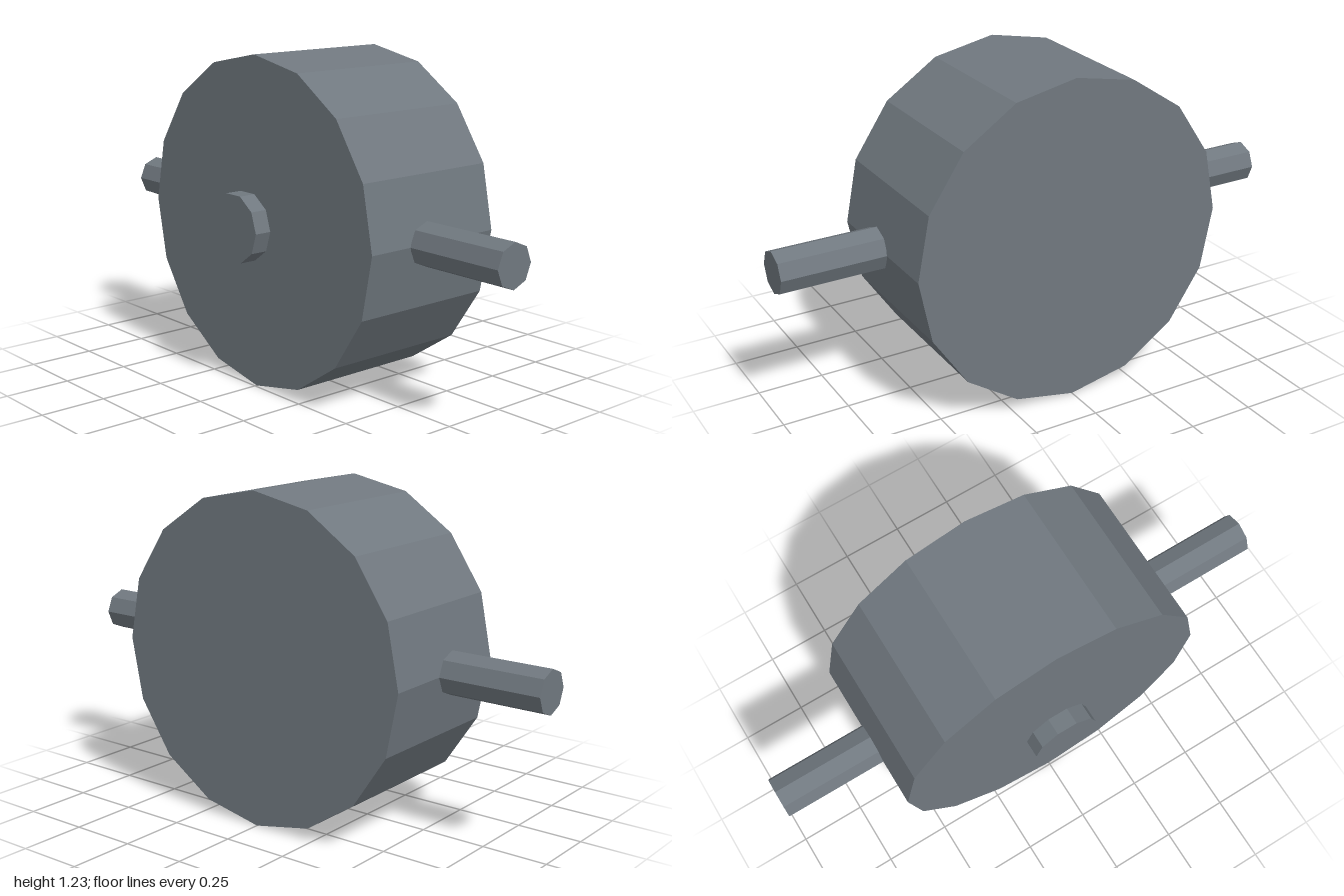
import * as THREE from 'three';

export function createModel() {
  const group = new THREE.Group();
  const steel = new THREE.MeshStandardMaterial({ color: 0x70787f });
  steel.name = 'slateGrey';
  const centreY = 0.613;

  // Faceted cylinder lying along x or z between two coordinates
  function rod(name, axis, radius, sides, from, to, x, z, thetaStart = 0) {
    const geometry = new THREE.CylinderGeometry(radius, radius, to - from, sides, 1, false, thetaStart);
    if (axis === 'z') geometry.rotateX(Math.PI / 2);
    else geometry.rotateZ(Math.PI / 2);
    // Un-shared corners give crisp flat facets
    const flat = geometry.toNonIndexed();
    flat.computeVertexNormals();
    const mesh = new THREE.Mesh(flat, steel);
    mesh.name = name;
    mesh.position.set(x, centreY, z);
    mesh.position[axis] = (from + to) / 2;
    group.add(mesh);
  }

  // Main drum
  rod('drum', 'z', 0.613, 16, -0.34, 0.242, 0, 0);

  // Small hub floating in front of the drum
  rod('frontHub', 'z', 0.128, 10, 0.275, 0.34, -0.002, 0, Math.PI / 2);

  // Axle stubs on both sides
  rod('leftAxle', 'x', 0.08, 8, 0.61, 1, 0, -0.016);
  rod('rightAxle', 'x', 0.08, 8, -1, -0.613, 0, -0.016);

  return group;
}
